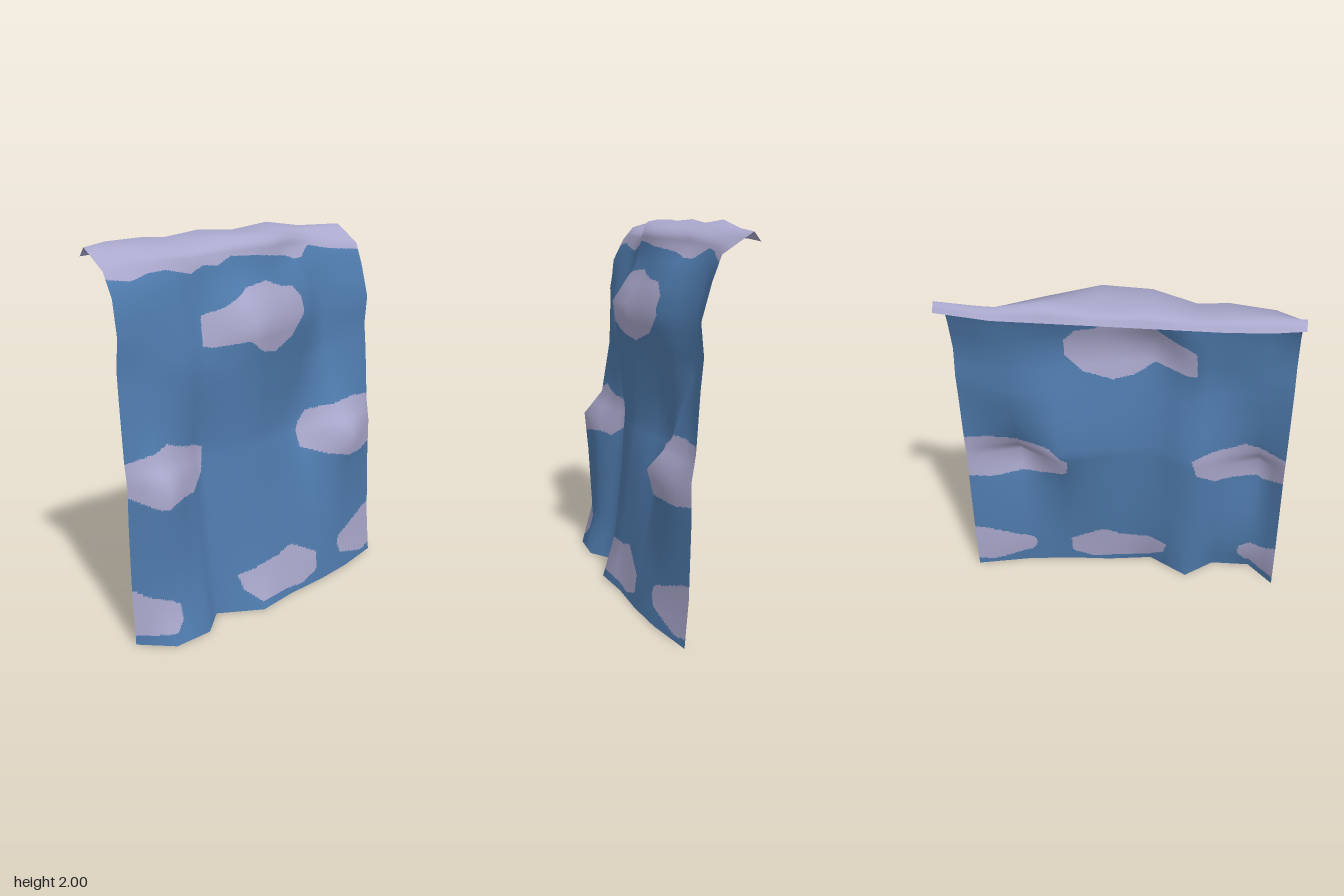
import * as THREE from 'three';

// Column positions across the cloth, from +z to -z
const COLS = [0.89, 0.75, 0.53, 0.37, 0.15, -0.1, -0.35, -0.6, -0.89];

// Each row: height, then how far the folds stand out in x at each column
const FOLDS = [
  [0.00, 0.12, 0.275, 0.27, 0.14, 0.28, 0.24, 0.225, 0.19, 0.12],
  [0.24, 0.10, 0.21, 0.20, 0.12, 0.21, 0.20, 0.20, 0.16, 0.10],
  [0.60, 0.09, 0.23, 0.16, 0.08, 0.17, 0.15, 0.13, 0.17, 0.09],
  [0.82, 0.09, 0.25, 0.14, 0.05, 0.155, 0.12, 0.05, 0.225, 0.09],
  [0.95, 0.07, 0.14, 0.11, 0.04, 0.145, 0.09, 0.005, 0.10, 0.07],
  [1.25, 0.045, 0.09, 0.125, 0.08, 0.17, 0.11, 0.04, -0.005, 0.05],
  [1.40, 0.035, 0.085, 0.13, 0.08, 0.19, 0.13, 0.07, -0.02, 0.035],
  [1.56, 0.05, 0.08, 0.10, 0.055, 0.21, 0.15, 0.09, -0.03, 0.05],
  [1.74, 0.02, 0.06, 0.06, 0.02, 0.09, 0.08, 0.03, -0.07, 0.00],
  [1.86, -0.045, 0.00, 0.02, 0.01, 0.05, 0.05, -0.06, -0.11, -0.045],
];
const SHOULDER_X = [-0.12, -0.06, -0.02, -0.03, 0.03, 0.04, -0.06, -0.15, -0.12];
const SHOULDER_Y = [1.91, 1.93, 1.935, 1.93, 1.965, 1.97, 1.95, 1.92, 1.91];
const CREST_Y = [1.96, 1.975, 1.978, 1.968, 1.99, 1.975, 2.0, 1.965, 1.96];
const LIP_X = [-0.23, -0.26, -0.28, -0.28, -0.28, -0.28, -0.28, -0.28, -0.23];

// Rows of [x, y]: hanging cloth, then the shoulder, crest and lip of the top flap
const rows = FOLDS.map(([y, ...xs]) => xs.map((x) => [x, y]));
rows.push(SHOULDER_X.map((x, i) => [x, SHOULDER_Y[i]]));
rows.push(CREST_Y.map((y, i) => [LIP_X[i] * 0.85, y]));
rows.push(LIP_X.map((x) => [x, 1.915]));

// Point on the cloth, u counted in columns and v in rows
function clothPoint(u, v) {
  const i = Math.min(Math.floor(u), COLS.length - 2);
  const j = Math.min(Math.floor(v), rows.length - 2);
  const s = u - i, t = v - j;
  const mix = (k) => THREE.MathUtils.lerp(
    THREE.MathUtils.lerp(rows[j][i][k], rows[j][i + 1][k], s),
    THREE.MathUtils.lerp(rows[j + 1][i][k], rows[j + 1][i + 1][k], s), t);
  return new THREE.Vector3(mix(0), mix(1), THREE.MathUtils.lerp(COLS[i], COLS[i + 1], s));
}

// Normal softened over neighbouring facets
function clothNormal(u, v) {
  const U = COLS.length - 1, V = rows.length - 1, d = 0.6;
  const across = clothPoint(Math.min(u + d, U), v).sub(clothPoint(Math.max(u - d, 0), v));
  const up = clothPoint(u, Math.min(v + d, V)).sub(clothPoint(u, Math.max(v - d, 0)));
  return across.cross(up).normalize();
}

// Outlines in [z, y] of the cloud patches and of the pale band along the top
const UPPER_CLOUD = [[0.39, 1.45], [0.38, 1.6], [0.25, 1.64], [0.12, 1.72], [-0.04, 1.74],
  [-0.15, 1.7], [-0.25, 1.69], [-0.31, 1.63], [-0.31, 1.53], [-0.22, 1.43], [-0.06, 1.37],
  [0.05, 1.39], [0.17, 1.46], [0.33, 1.44]];
const MIDDLE_CLOUDS = [
  [[0.9, 0.94], [0.75, 0.98], [0.67, 1.01], [0.6, 0.985], [0.45, 0.95], [0.38, 0.92],
    [0.41, 0.8], [0.51, 0.73], [0.62, 0.735], [0.78, 0.715], [0.9, 0.78]],
  [[-0.31, 0.86], [-0.41, 0.965], [-0.6, 0.98], [-0.76, 0.995], [-0.9, 0.98], [-0.9, 0.7],
    [-0.76, 0.67], [-0.62, 0.685], [-0.47, 0.715], [-0.32, 0.77]],
];
const LOWER_CLOUDS = [
  [[0.25, 0.2], [0.12, 0.23], [-0.02, 0.24], [-0.13, 0.275], [-0.25, 0.215], [-0.33, 0.175],
    [-0.32, 0.07], [-0.2, 0.03], [-0.02, 0.04], [0.14, 0.04], [0.23, 0.12]],
  [[0.9, 0.3], [0.83, 0.25], [0.73, 0.225], [0.68, 0.19], [0.68, 0.11], [0.73, 0.06], [0.9, 0.045]],
  [[-0.53, 0.15], [-0.55, 0.2], [-0.68, 0.24], [-0.81, 0.29], [-0.9, 0.315], [-0.9, 0.05],
    [-0.8, 0.025], [-0.68, 0.06], [-0.56, 0.095]],
];
const TOP_BAND = [[0.9, 1.825], [0.78, 1.81], [0.67, 1.84], [0.57, 1.845], [0.41, 1.81],
  [0.33, 1.845], [0.25, 1.84], [0.17, 1.88], [-0.02, 1.87], [-0.28, 1.84], [-0.36, 1.815],
  [-0.44, 1.815], [-0.54, 1.87], [-0.7, 1.84], [-0.9, 1.825], [-0.9, 2.1], [0.9, 2.1]];
const PALE_OUTLINES = [UPPER_CLOUD, ...MIDDLE_CLOUDS, ...LOWER_CLOUDS, TOP_BAND];

// Even-odd test of a point against an outline
function inside(outline, z, y) {
  let hit = false;
  outline.forEach(([az, ay], n) => {
    const [bz, by] = outline[(n + 1) % outline.length];
    if (ay > y !== by > y && z < az + ((bz - az) * (y - ay)) / (by - ay)) hit = !hit;
  });
  return hit;
}

function clothGeometry() {
  const perCol = 20, perRow = 24;
  const nu = (COLS.length - 1) * perCol, nv = (rows.length - 1) * perRow;
  const positions = [], normals = [], blue = [], pale = [];
  for (let j = 0; j <= nv; j++) {
    for (let i = 0; i <= nu; i++) {
      positions.push(...clothPoint(i / perCol, j / perRow).toArray());
      normals.push(...clothNormal(i / perCol, j / perRow).toArray());
    }
  }
  // Sort each small triangle into cloth or cloud by its middle
  const addTriangle = (...tri) => {
    const middle = (k) => tri.reduce((sum, n) => sum + positions[n * 3 + k], 0) / 3;
    const z = middle(2), y = middle(1);
    (PALE_OUTLINES.some((outline) => inside(outline, z, y)) ? pale : blue).push(...tri);
  };
  for (let j = 0; j < nv; j++) {
    for (let i = 0; i < nu; i++) {
      const a = j * (nu + 1) + i, d = a + nu + 1;
      addTriangle(a, a + 1, d + 1);
      addTriangle(a, d + 1, d);
    }
  }
  const geometry = new THREE.BufferGeometry();
  geometry.setAttribute('position', new THREE.Float32BufferAttribute(positions, 3));
  geometry.setAttribute('normal', new THREE.Float32BufferAttribute(normals, 3));
  geometry.setIndex(blue.concat(pale));
  geometry.addGroup(0, blue.length, 0);
  geometry.addGroup(blue.length, pale.length, 1);
  return geometry;
}

export function createModel() {
  const material = (name, color) => {
    const m = new THREE.MeshStandardMaterial({ color, side: THREE.DoubleSide });
    m.name = name;
    return m;
  };
  const curtain = new THREE.Mesh(clothGeometry(), [
    material('blueCloth', 0x4f7bad),
    material('paleCloud', 0xaaa8cc),
  ]);
  curtain.name = 'curtain';
  const group = new THREE.Group();
  group.name = 'hangingCloth';
  group.add(curtain);
  return group;
}
